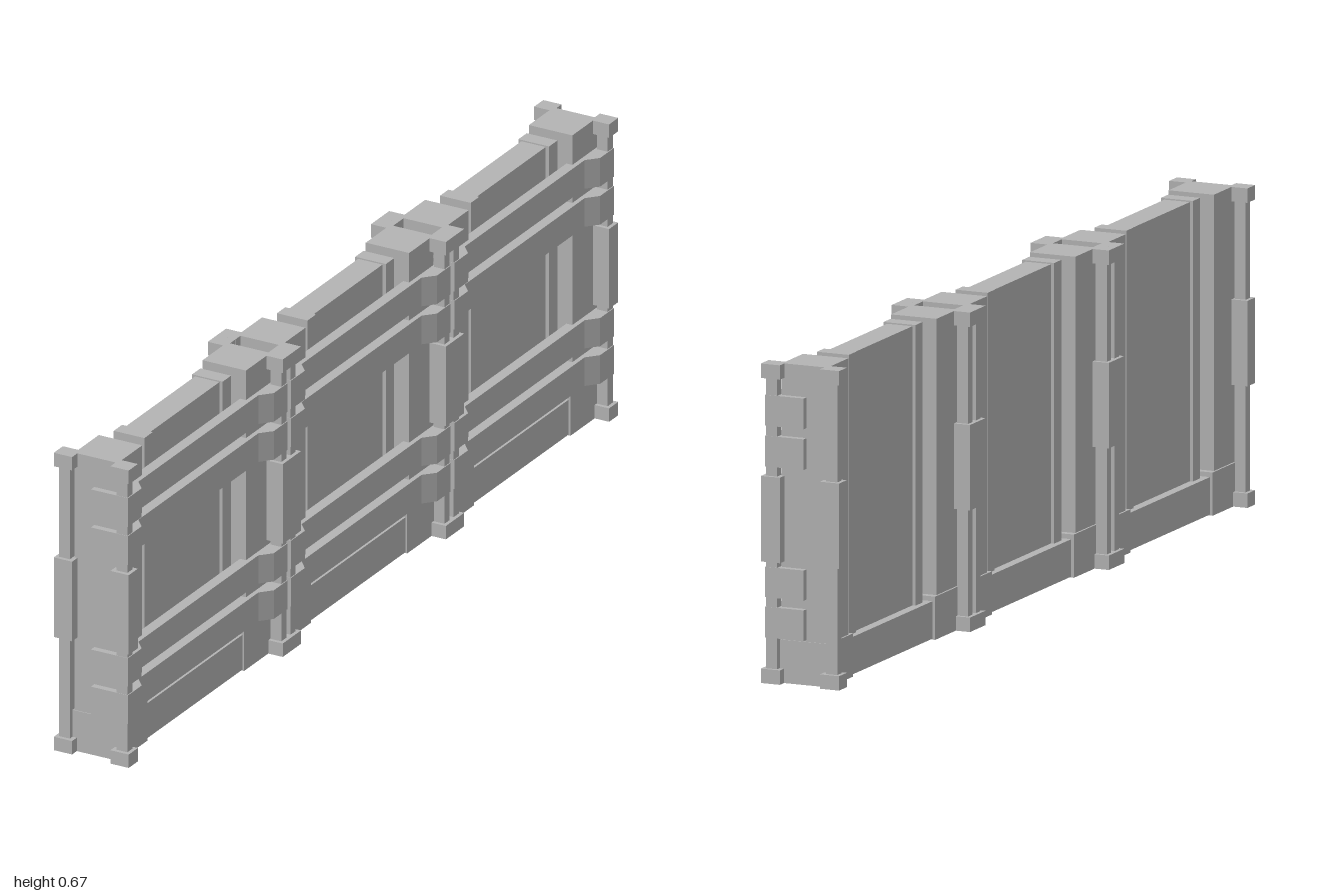
import * as THREE from 'three';

const HEIGHT = 0.665;
const grey = new THREE.MeshStandardMaterial({ color: 0xb4b4b4 });
grey.name = 'grey';

// Box given by its lower and upper limits on each axis
function box(parent, name, [x0, x1], [y0, y1], [z0, z1]) {
  const mesh = new THREE.Mesh(new THREE.BoxGeometry(x1 - x0, y1 - y0, z1 - z0), grey);
  mesh.position.set((x0 + x1) / 2, (y0 + y1) / 2, (z0 + z1) / 2);
  mesh.name = name;
  parent.add(mesh);
}

// Half outline of a rail as [x, z]: straight bar, chamfered bump, hook round the end
const railHalf = [
  [0.06, 0.245], [0.082, 0.27], [0.082, 0.326], [-0.005, 0.326],
  [-0.005, 0.31], [0.036, 0.31],
];

function rail(parent, y0, y1) {
  const outline = [...railHalf, ...railHalf.map(([x, z]) => [x, -z]).reverse()];
  const shape = new THREE.Shape(outline.map(([x, z]) => new THREE.Vector2(x, z)));
  const geometry = new THREE.ExtrudeGeometry(shape, { depth: y1 - y0, bevelEnabled: false });
  geometry.rotateX(Math.PI / 2);
  const mesh = new THREE.Mesh(geometry, grey);
  mesh.position.y = y1;
  mesh.name = 'rail';
  parent.add(mesh);
}

// Range mirrored to the chosen side of zero
const side = (s, a, b) => (s > 0 ? [a, b] : [-b, -a]);

function createSection() {
  const section = new THREE.Group();
  section.name = 'wallSection';

  // Sill and panel
  box(section, 'sill', [-0.05, 0.05], [0.002, 0.08], [-0.2, 0.2]);
  box(section, 'panel', [-0.03, 0.027], [0.07, HEIGHT - 0.004], [-0.15, 0.15]);

  for (const s of [1, -1]) {
    // Panel edging, column and its foot
    box(section, 'panelEdge', [-0.037, 0.035], [0.07, HEIGHT - 0.001], side(s, 0.143, 0.177));
    box(section, 'column', [-0.052, 0.05], [0.08, HEIGHT], side(s, 0.212, 0.312));
    box(section, 'columnFoot', [-0.056, 0.054], [0, 0.09], side(s, 0.197, 0.314));

    // Corner posts with foot, sleeve and cap
    for (const t of [1, -1]) {
      box(section, 'post', side(t, 0.055, 0.08), [0.01, HEIGHT - 0.01], side(s, 0.304, 0.325));
      for (const [name, y] of [
        ['postFoot', [0, 0.03]],
        ['postSleeve', [0.253, 0.431]],
        ['postCap', [0.635, HEIGHT]],
      ]) box(section, name, side(t, 0.045, 0.088), y, side(s, 0.296, 0.3333));
    }
  }

  // Two pairs of rails on one face
  for (const [y0, y1] of [[0.094, 0.158], [0.178, 0.241], [0.45, 0.514], [0.535, 0.599]]) {
    rail(section, y0, y1);
  }
  return section;
}

export function createModel() {
  const model = new THREE.Group();
  model.name = 'barrierWall';
  for (const i of [-1, 0, 1]) {
    const section = createSection();
    section.position.z = (i * 2) / 3;
    model.add(section);
  }
  return model;
}
